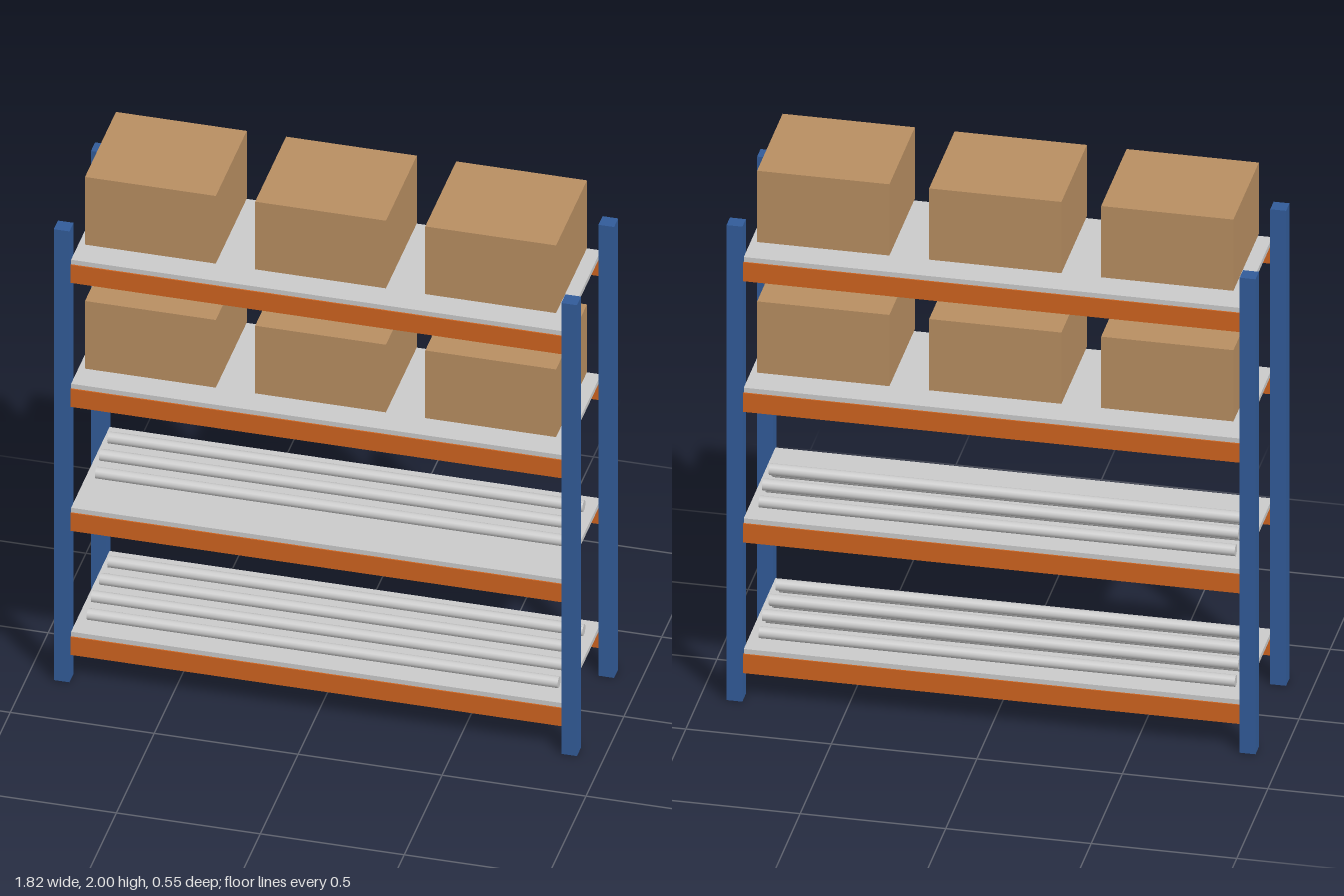
import * as THREE from 'three';

const material = (color) => new THREE.MeshStandardMaterial({ color });

export function createModel() {
  const rack = new THREE.Group();
  rack.name = 'storageRack';

  const blue = material(0x325c9a);
  const orange = material(0xd0641f);
  const grey = material(0xcccccc);
  const cardboard = material(0xb98f62);

  const add = (name, geometry, mat, x, y, z) => {
    const mesh = new THREE.Mesh(geometry, mat);
    mesh.name = name;
    mesh.position.set(x, y, z);
    rack.add(mesh);
    return mesh;
  };

  const postX = 0.8815, postZ = 0.2455;

  // Four corner uprights
  const postGeo = new THREE.BoxGeometry(0.0545, 1.818, 0.0545);
  for (const x of [-postX, postX])
    for (const z of [-postZ, postZ]) add('post', postGeo, blue, x, 0.909, z);

  // Four levels: a thin shelf on a front and a back beam
  const beamGeo = new THREE.BoxGeometry(1.709, 0.072, 0.027);
  const shelfGeo = new THREE.BoxGeometry(1.707, 0.018, 0.508);
  const levels = [0.192, 0.692, 1.192, 1.692]; // shelf tops
  for (const top of levels) {
    add('shelf', shelfGeo, grey, 0, top - 0.009, 0);
    for (const z of [-postZ, postZ]) add('beam', beamGeo, orange, 0, top - 0.054, z);
  }

  // Cardboard boxes above the two upper shelves
  const boxGeo = new THREE.BoxGeometry(0.4545, 0.2727, 0.409);
  for (const y of [1.3636, 1.8636])
    for (const x of [-0.591, 0, 0.591]) add('cardboardBox', boxGeo, cardboard, x, y, 0);

  // Pipes in two staggered rows on the two lower shelves
  const pipeGeo = new THREE.CylinderGeometry(0.0205, 0.0205, 1.636, 16);
  pipeGeo.rotateZ(Math.PI / 2);
  const stacks = [
    { top: levels[0], lower: [-0.1636, -0.0545, 0.0545, 0.1636], upper: [-0.109, 0, 0.109] },
    { top: levels[1], lower: [-0.1636, -0.0545, 0.0545], upper: [-0.109, 0] },
  ];
  for (const { top, lower, upper } of stacks) {
    for (const z of lower) add('pipe', pipeGeo, grey, 0, top + 0.0205, z);
    for (const z of upper) add('pipe', pipeGeo, grey, 0, top + 0.057, z);
  }

  return rack;
}
